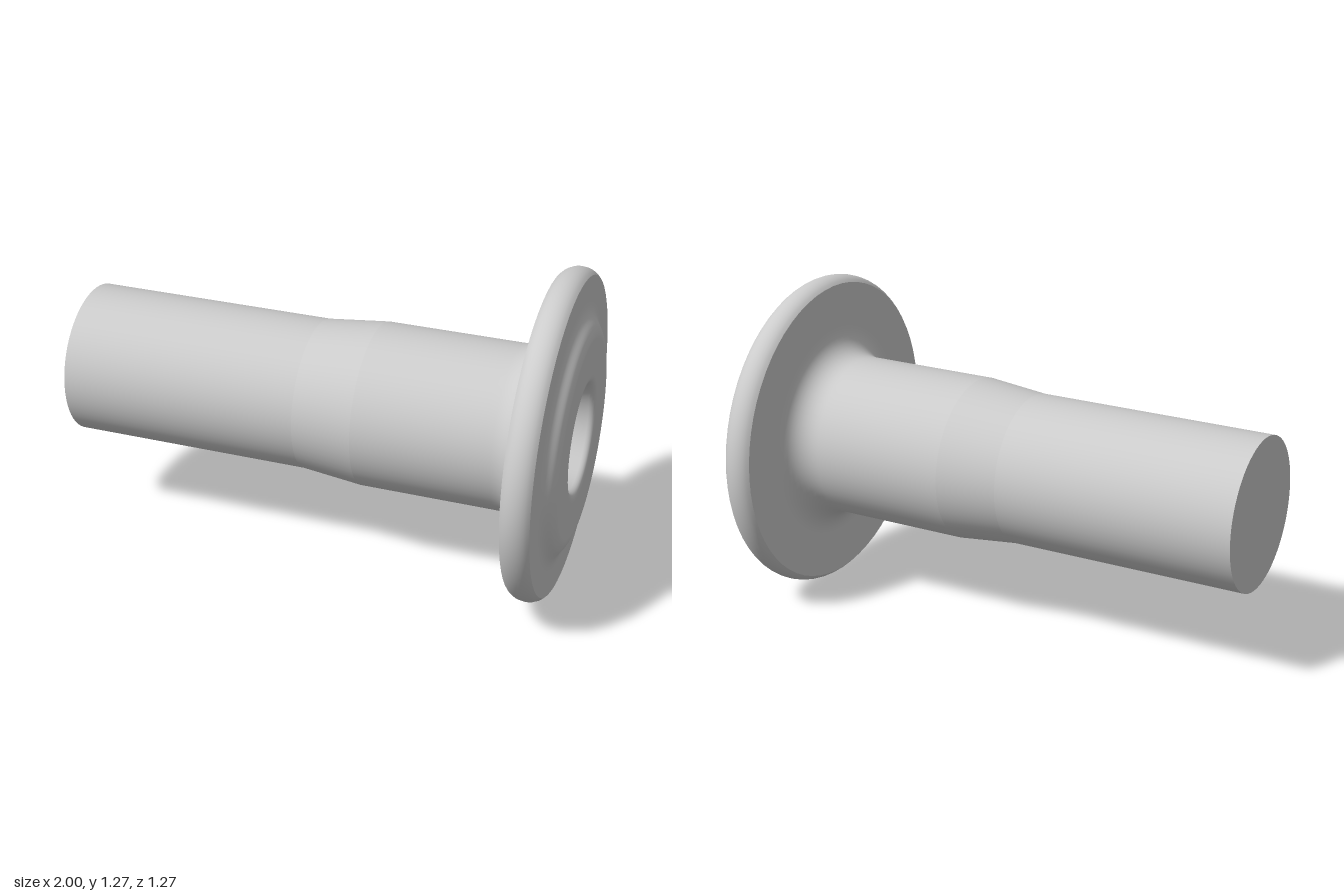
import * as THREE from 'three';

const AXIS_HEIGHT = 0.635;
const SEGMENTS = 64;

// Profiles are lists of [x along axis, radius], running from the tail to the head.
const pts = (list) => list.map(([x, r]) => new THREE.Vector2(r, x));

// Smooth cubic Bezier between two profile points
function bezier(a, b, c, d, n = 10) {
  const [p, q, r, s] = pts([a, b, c, d]);
  return new THREE.CubicBezierCurve(p, q, r, s).getPoints(n).map((v) => [v.y, v.x]);
}

export function createModel() {
  const group = new THREE.Group();
  const material = new THREE.MeshStandardMaterial({ color: 0xcccccc });

  // Each turned section is its own lathe so edges between sections stay sharp
  function turned(name, profile) {
    const geometry = new THREE.LatheGeometry(pts(profile), SEGMENTS);
    geometry.rotateZ(-Math.PI / 2);
    const mesh = new THREE.Mesh(geometry, material);
    mesh.name = name;
    mesh.position.y = AXIS_HEIGHT;
    group.add(mesh);
  }

  // Shank: flat end, slim section, taper and thicker section
  turned('shankEnd', [[-1, 0], [-1, 0.295]]);
  turned('slimShank', [[-1, 0.295], [-0.05, 0.295]]);
  turned('shankTaper', [[-0.05, 0.295], [0.19, 0.32]]);

  // Thick shank flaring into the back of the flange
  turned('thickShank', [
    [0.19, 0.32], [0.7, 0.32],
    ...bezier([0.73, 0.32], [0.8, 0.32], [0.845, 0.365], [0.845, 0.43]),
    [0.845, 0.46], [0.845, 0.61],
  ]);

  // Rounded flange edge
  turned('flangeEdge', bezier([0.845, 0.61], [0.87, 0.643], [0.93, 0.643], [0.955, 0.61]));

  // Front face: flat rim, raised boss and rounded socket mouth
  turned('headFace', [
    [0.955, 0.61], [0.955, 0.53],
    ...bezier([0.955, 0.51], [0.955, 0.45], [0.985, 0.445], [0.994, 0.41]),
    [1, 0.395], [1, 0.38], [1, 0.25],
    ...bezier([1, 0.24], [1, 0.22], [0.992, 0.21], [0.975, 0.205], 6),
    // Tapered socket wall with a dished floor
    [0.96, 0.202], [0.83, 0.168],
    ...bezier([0.81, 0.162], [0.77, 0.145], [0.74, 0.08], [0.74, 0], 12),
  ]);

  return group;
}
